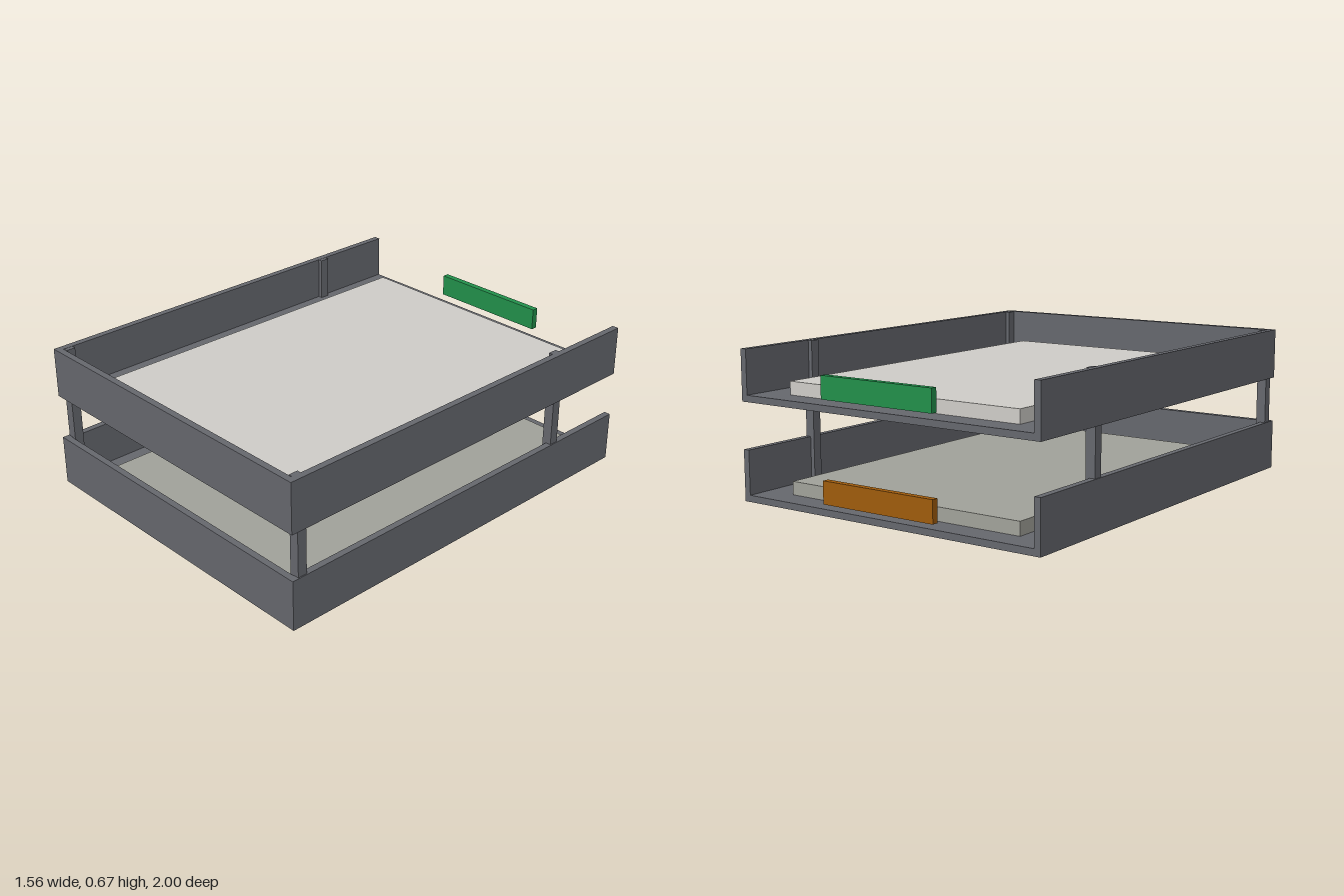
import * as THREE from 'three';

export function createModel() {
  const root = new THREE.Group();
  const mat = (name, color) => {
    const m = new THREE.MeshStandardMaterial({ color });
    m.name = name;
    return m;
  };
  const gray = mat('slate gray', 0x66686e);
  const green = mat('green', 0x22904b);
  const orange = mat('orange brown', 0xa05c0c);
  const paleSheet = mat('pale paper', 0xd0cec9);
  const dullSheet = mat('dull paper', 0xa2a39b);

  // Box given by its min and max on each axis
  const box = (parent, name, material, [x0, x1], [y0, y1], [z0, z1]) => {
    const mesh = new THREE.Mesh(new THREE.BoxGeometry(x1 - x0, y1 - y0, z1 - z0), material);
    mesh.position.set((x0 + x1) / 2, (y0 + y1) / 2, (z0 + z1) / 2);
    mesh.name = name;
    parent.add(mesh);
  };

  // Tray open at the back, with a paper stack and a coloured label tab
  const W = 0.78, BACK = -0.97, H = 0.23, T = 0.03;
  const addTray = (name, y, paper, tab) => {
    const tray = new THREE.Group();
    tray.name = name;
    tray.position.y = y;
    box(tray, 'floor', gray, [-W, W], [0, T], [BACK, 1]);
    box(tray, 'frontWall', gray, [-W + T, W - T], [T, H], [1 - T, 1]);
    box(tray, 'rightWall', gray, [-W, -W + T], [T, H], [BACK, 1]);
    box(tray, 'leftWall', gray, [W - T, W], [T, H], [BACK, 1]);
    box(tray, 'paperStack', paper, [-0.605, 0.605], [T, 0.09], [-0.855, 0.875]);
    box(tray, 'labelTab', tab, [-0.29, 0.29], [0.06, 0.16], [-1, BACK]);
    root.add(tray);
  };
  addTray('lowerTray', 0, dullSheet, orange);
  addTray('upperTray', 0.44, paleSheet, green);

  // Four posts joining the trays, reaching the upper rim
  for (const side of [-1, 1]) {
    for (const z of [-0.565, 0.945]) {
      const xs = [side * 0.73, side * 0.775].sort((a, b) => a - b);
      box(root, 'post', gray, xs, [T, 0.669], [z - 0.022, z + 0.022]);
    }
  }
  return root;
}
